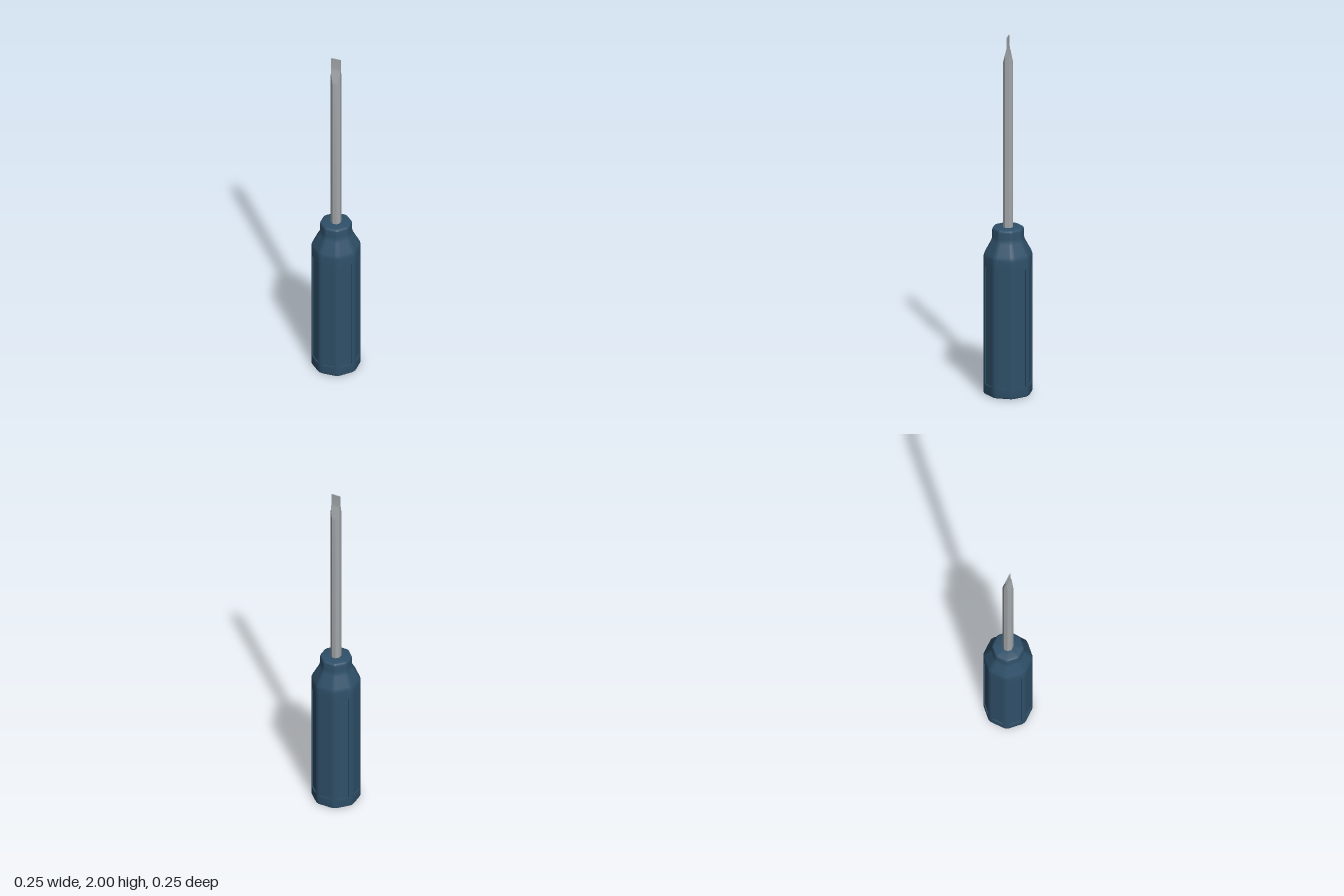
import * as THREE from 'three';
import { toCreasedNormals } from 'three/addons/utils/BufferGeometryUtils.js';

// Skin closed cross-sections (ordered from +z towards +x, bottom to top) and cap both ends
function loft(rings) {
  const pos = [];
  const tri = (a, b, c) => {
    const n = b.clone().sub(a).cross(c.clone().sub(a));
    if (n.length() < 1e-9) return; // skip collapsed faces
    for (const p of [a, b, c]) pos.push(p.x, p.y, p.z);
  };
  const n = rings[0].length;
  for (let i = 0; i < rings.length - 1; i++) {
    for (let j = 0; j < n; j++) {
      const k = (j + 1) % n;
      const a = rings[i][j], b = rings[i][k], c = rings[i + 1][k], d = rings[i + 1][j];
      tri(a, b, c);
      tri(a, c, d);
    }
  }
  const bottom = rings[0], top = rings[rings.length - 1];
  const bc = new THREE.Vector3(0, bottom[0].y, 0), tc = new THREE.Vector3(0, top[0].y, 0);
  for (let j = 0; j < n; j++) {
    const k = (j + 1) % n;
    tri(bc, bottom[k], bottom[j]);
    tri(tc, top[j], top[k]);
  }
  const geo = new THREE.BufferGeometry();
  geo.setAttribute('position', new THREE.Float32BufferAttribute(pos, 3));
  return toCreasedNormals(geo, 0.6);
}

// Rounded octagon with an optional recessed panel on each flat
const APOTHEM = 0.125, CORNER = 0.04, PANEL = 0.032;
function handleRing(y, radius, depth) {
  const s = radius / APOTHEM, pts = [];
  const add = (x, z) => pts.push(new THREE.Vector3(x * s, y, z * s));
  for (let k = 0; k < 8; k++) {
    const t = k * Math.PI / 4, sn = Math.sin(t), cs = Math.cos(t);
    const flat = (u, r) => add(r * sn + u * cs, r * cs - u * sn);
    flat(-PANEL, APOTHEM);
    flat(-PANEL, APOTHEM - depth);
    flat(PANEL, APOTHEM - depth);
    flat(PANEL, APOTHEM);
    const m = t + Math.PI / 8, r = (APOTHEM - CORNER) / Math.cos(Math.PI / 8);
    for (let i = 0; i <= 4; i++) {
      const a = t + i * Math.PI / 16;
      add(r * Math.sin(m) + CORNER * Math.sin(a), r * Math.cos(m) + CORNER * Math.cos(a));
    }
  }
  return pts;
}

// Octagonal rod section, cut flat at z = +-half to form the blade
const ROD = 0.026;
function rodRing(y, half) {
  const pts = [], c = ROD / Math.cos(Math.PI / 8), steps = 6;
  for (let k = 0; k < 8; k++) {
    const a = (k - 0.5) * Math.PI / 4, b = a + Math.PI / 4;
    for (let i = 0; i < steps; i++) {
      const f = i / steps;
      const x = c * THREE.MathUtils.lerp(Math.sin(a), Math.sin(b), f);
      const z = c * THREE.MathUtils.lerp(Math.cos(a), Math.cos(b), f);
      pts.push(new THREE.Vector3(x, y, THREE.MathUtils.clamp(z, -half, half)));
    }
  }
  return pts;
}

export function createModel() {
  const handleBlue = new THREE.MeshStandardMaterial({ color: 0x2f5069 });
  handleBlue.name = 'handle blue';
  const steel = new THREE.MeshStandardMaterial({ color: 0xa2a6a9 });
  steel.name = 'steel grey';

  const group = new THREE.Group();
  group.name = 'screwdriver';

  // Handle: y, radius, panel depth
  const profile = [
    [0, 0.113, 0], [0.002, 0.119, 0], [0.006, 0.1235, 0], [0.013, 0.125, 0],
    [0.06, 0.125, 0], [0.06, 0.125, 0.006],
    [0.72, 0.125, 0.006], [0.72, 0.125, 0],
    [0.77, 0.125, 0], [0.782, 0.1235, 0], [0.795, 0.119, 0],
    [0.855, 0.0885, 0], [0.868, 0.0835, 0], [0.882, 0.081, 0],
    [0.918, 0.081, 0], [0.925, 0.0795, 0], [0.929, 0.076, 0], [0.931, 0.071, 0],
  ];
  const handle = new THREE.Mesh(loft(profile.map((p) => handleRing(...p))), handleBlue);
  handle.name = 'handle';
  group.add(handle);

  // Shaft with a tapered flat blade: y, half thickness
  const taper = [
    [0.9, 0.026], [1.85, 0.026], [1.86, 0.0235], [1.87, 0.021], [1.88, 0.018],
    [1.89, 0.0152], [1.9, 0.0125], [1.91, 0.0098], [1.92, 0.007], [1.93, 0.0045],
    [1.94, 0.003], [2, 0.0025],
  ];
  const shaft = new THREE.Mesh(loft(taper.map((p) => rodRing(...p))), steel);
  shaft.name = 'shaftAndBlade';
  group.add(shaft);

  return group;
}
